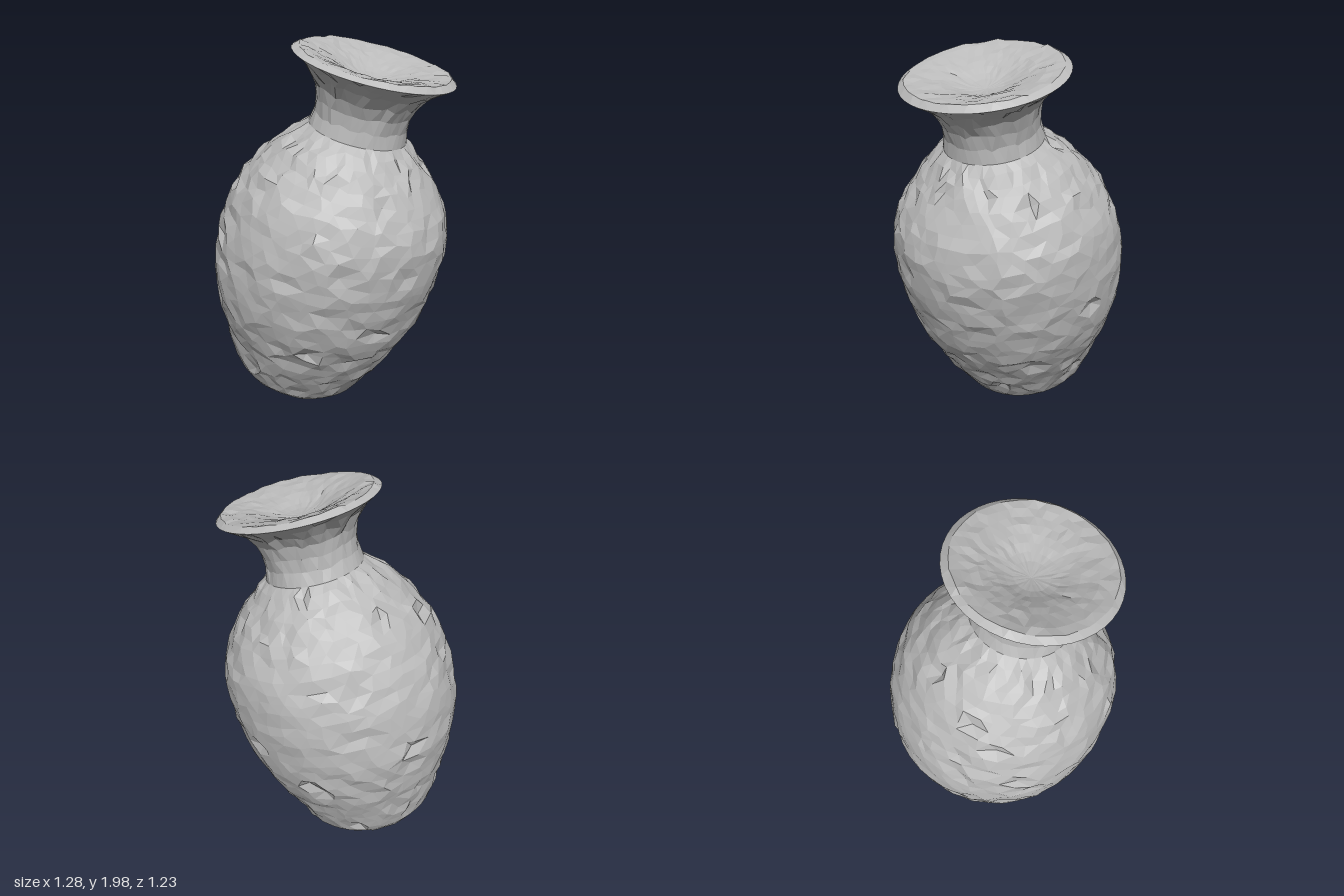
import * as THREE from 'three';

const SEGMENTS = 44;

// Repeatable random numbers in -1..1
function seeded(seed) {
  let s = seed;
  return () => {
    s = (s * 16807) % 2147483647;
    return (s / 2147483647) * 2 - 1;
  };
}

// Turned surface with hand-hewn facets. Each ring turns half a step, so an even
// ring count brings the untouched end rings back in line with the next part.
function hewn(profile, rings, rough, chipChance, seed) {
  const curve = new THREE.SplineCurve(profile.map(([r, y]) => new THREE.Vector2(r, y)));
  const pts = curve.getSpacedPoints(rings);
  const geo = new THREE.LatheGeometry(pts, SEGMENTS);
  const pos = geo.attributes.position;
  const rand = seeded(seed);
  const n = pts.length;
  for (let j = 0; j < n; j++) {
    const { x: radius, y: height } = pts[j];
    const inner = j > 0 && j < n - 1 ? Math.min(1, radius / 0.3) : 0;
    // The shoulder swells slightly to one side
    const swell = inner * 0.02 * Math.exp(-(((height - 1.1) / 0.22) ** 2));
    for (let i = 0; i < SEGMENTS; i++) {
      const chip = Math.abs(rand()) < chipChance ? 0.026 * Math.abs(rand()) : 0;
      const r = radius + inner * (rand() * rough - chip);
      const a = ((i + j * 0.5 + inner * rand() * 0.34) / SEGMENTS) * Math.PI * 2;
      const y = height + inner * rand() * rough * 2;
      pos.setXYZ(i * n + j, r * Math.sin(a) + swell, y, r * Math.cos(a));
    }
    // Close the seam
    pos.setXYZ(SEGMENTS * n + j, pos.getX(j), pos.getY(j), pos.getZ(j));
  }
  const flat = geo.toNonIndexed();
  flat.computeVertexNormals();
  return flat;
}

export function createModel() {
  const stone = new THREE.MeshStandardMaterial({ color: 0xbababa, side: THREE.DoubleSide });
  stone.name = 'grey stone';

  const vase = new THREE.Group();
  vase.name = 'vase';

  const add = (name, geometry) => {
    const mesh = new THREE.Mesh(geometry, stone);
    mesh.name = name;
    vase.add(mesh);
  };

  // Slightly bulging foot with a worn, rounded edge
  add('base', hewn([
    [0, -0.022], [0.14, -0.022], [0.25, -0.022], [0.33, -0.01], [0.372, 0.035],
  ], 6, 0.003, 0, 11));

  // Rough rounded belly
  add('body', hewn([
    [0.372, 0.035], [0.415, 0.12], [0.5, 0.32], [0.582, 0.55], [0.608, 0.75],
    [0.607, 0.89], [0.58, 1.06], [0.515, 1.21], [0.385, 1.37], [0.255, 1.49],
  ], 28, 0.007, 0.1, 47));

  // Narrow neck flaring to the lip
  add('neck', hewn([
    [0.255, 1.49], [0.24, 1.58], [0.262, 1.69], [0.325, 1.77], [0.412, 1.832],
  ], 6, 0.006, 0, 83));

  // Rounded lip and shallow dished mouth
  add('mouth', hewn([
    [0.412, 1.832], [0.385, 1.855], [0.3, 1.842], [0.2, 1.815], [0.1, 1.775], [0, 1.76],
  ], 10, 0.003, 0, 29));

  // The whole vase leans to its left
  vase.rotation.z = -THREE.MathUtils.degToRad(14);
  vase.position.set(-0.21, 0.1, 0);

  const model = new THREE.Group();
  model.name = 'leaningVase';
  model.add(vase);
  return model;
}
